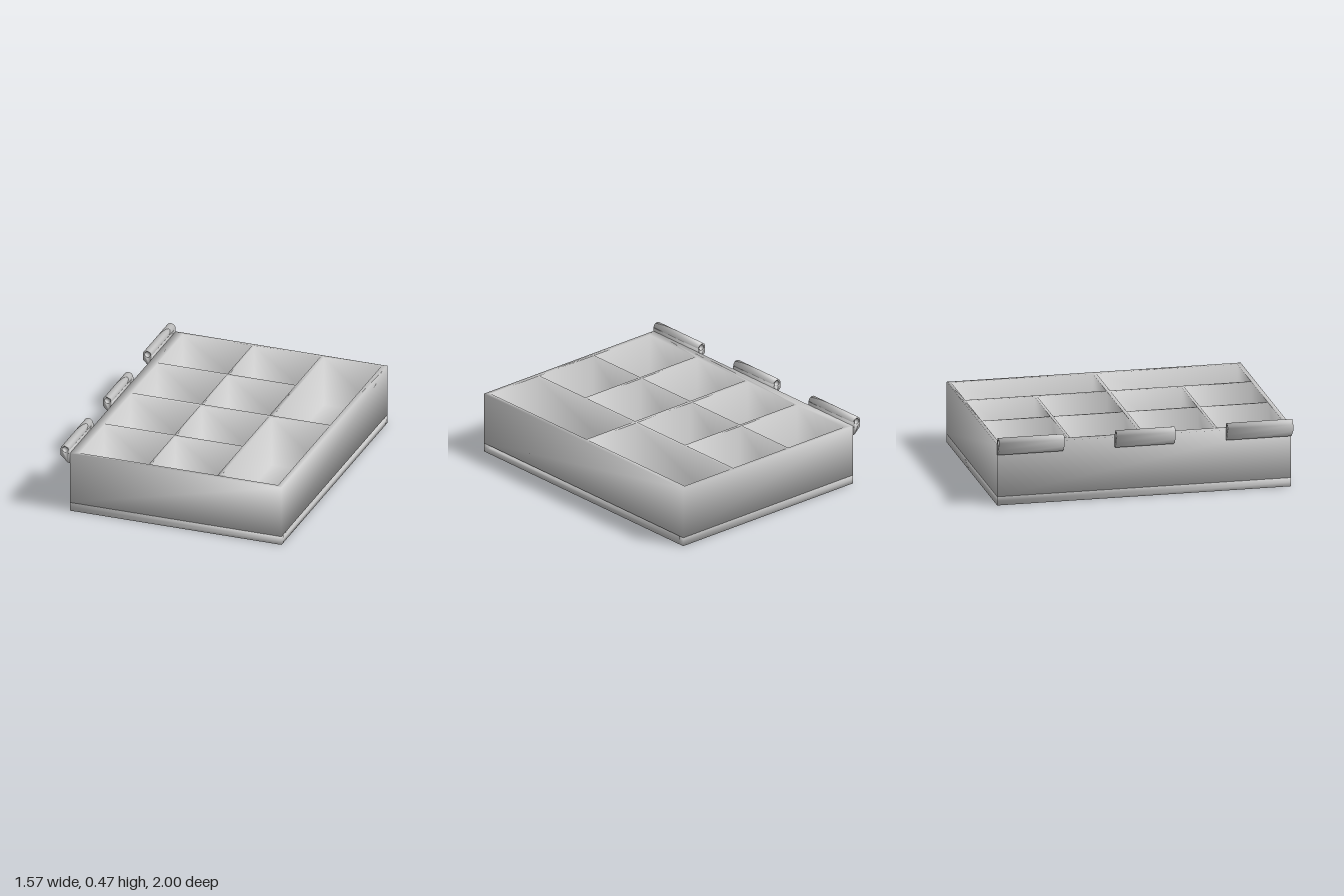
import * as THREE from 'three';
import { mergeGeometries, mergeVertices } from 'three/addons/utils/BufferGeometryUtils.js';

const material = new THREE.MeshStandardMaterial({ color: 0xcccccc });
const innerMaterial = new THREE.MeshStandardMaterial({ color: 0xcccccc, side: THREE.DoubleSide });

const LEFT = -0.72, RIGHT = 0.78, HALF = 1;
const GROOVE_BOTTOM = 0.03, BASE_TOP = 0.06, FLOOR = 0.07, TOP = 0.42;

function addMesh(parent, name, geometry, mat = material) {
  const mesh = new THREE.Mesh(geometry, mat);
  mesh.name = name;
  parent.add(mesh);
}

// Welds all corners and gives them smooth normals, weighted by face angle
function smooth(source) {
  source.deleteAttribute('normal');
  source.deleteAttribute('uv');
  const geometry = mergeVertices(source);
  const position = geometry.attributes.position, index = geometry.index;
  const normals = Array.from({ length: position.count }, () => new THREE.Vector3());
  const triangle = new THREE.Triangle(), faceNormal = new THREE.Vector3();
  for (let i = 0; i < index.count; i += 3) {
    const ids = [0, 1, 2].map((k) => index.getX(i + k));
    triangle.setFromAttributeAndIndices(position, ...ids);
    triangle.getNormal(faceNormal);
    const corners = [triangle.a, triangle.b, triangle.c];
    corners.forEach((corner, k) => {
      const toNext = corners[(k + 1) % 3].clone().sub(corner);
      const toLast = corners[(k + 2) % 3].clone().sub(corner);
      normals[ids[k]].addScaledVector(faceNormal, toNext.angleTo(toLast));
    });
  }
  const values = normals.flatMap((n) => n.normalize().toArray());
  geometry.setAttribute('normal', new THREE.Float32BufferAttribute(values, 3));
  return geometry;
}

// Ground plan corners as [x, z], counter-clockwise from above
function rect(x0, x1, z0, z1) {
  return [[x0, z1], [x1, z1], [x1, z0], [x0, z0]];
}

// Level face at height y, facing up or down, with optional openings
function level(points, y, up = true, openings = []) {
  const sign = up ? -1 : 1;
  const flat = (loop) => loop.map(([x, z]) => new THREE.Vector2(x, sign * z));
  const shape = new THREE.Shape(flat(points));
  shape.holes = openings.map((loop) => new THREE.Path(flat(loop)));
  return new THREE.ShapeGeometry(shape).rotateX(sign * Math.PI / 2).translate(0, y, 0);
}

// Upright faces along a closed plan, facing outward or inward
function upright(points, y0, y1, outward = true) {
  const corners = [], faces = [];
  points.forEach(([ax, az], i) => {
    const [bx, bz] = points[(i + 1) % points.length], n = i * 4;
    corners.push(ax, y0, az, bx, y0, bz, bx, y1, bz, ax, y1, az);
    faces.push(...(outward ? [0, 1, 2, 0, 2, 3] : [0, 2, 1, 0, 3, 2]).map((k) => n + k));
  });
  const geometry = new THREE.BufferGeometry();
  geometry.setAttribute('position', new THREE.Float32BufferAttribute(corners, 3));
  geometry.setIndex(faces);
  return geometry;
}

function joinSmooth(parts) {
  for (const part of parts) {
    part.deleteAttribute('normal');
    part.deleteAttribute('uv');
  }
  return smooth(mergeGeometries(parts));
}

// Base plate with a long finger groove along one side
function createBase() {
  const inner = RIGHT - 0.02, end = 0.96;
  const lower = [[LEFT, HALF], [RIGHT, HALF], [RIGHT, end],
    [RIGHT, -end], [RIGHT, -HALF], [LEFT, -HALF]];
  const upper = [...lower.slice(0, 3), [inner, end], [inner, -end], ...lower.slice(3)];
  return joinSmooth([
    level(lower, 0, false),
    upright(lower, 0, GROOVE_BOTTOM),
    level(rect(inner, RIGHT, -end, end), GROOVE_BOTTOM),
    upright(upper, GROOVE_BOTTOM, BASE_TOP),
    level(upper, BASE_TOP),
  ]);
}

// Tray body: eight small and two long compartments
function createBody() {
  const outline = rect(LEFT, RIGHT, -HALF, HALF);
  const rows = [[-0.975, -0.51], [-0.49, -0.015], [0.01, 0.49], [0.51, 0.97]];
  const cells = [[-0.66, -0.17], [-0.155, 0.315]]
    .flatMap((column) => rows.map((row) => rect(...column, ...row)));
  cells.push(rect(0.34, 0.745, -0.975, -0.015), rect(0.34, 0.745, 0.01, 0.97));
  return joinSmooth([
    level(outline, BASE_TOP, false),
    upright(outline, BASE_TOP, TOP),
    level(outline, TOP, true, cells),
    ...cells.flatMap((cell) => [upright(cell, FLOOR, TOP, false), level(cell, FLOOR)]),
  ]);
}

// Hinge knuckle: rounded top, slanted foot, a round dimple in each end
function createKnuckle(length) {
  const knuckle = new THREE.Group();
  const cx = -0.753, cy = 0.443, r = 0.032, hole = 0.02;

  const profile = new THREE.Shape();
  profile.moveTo(LEFT, 0.35);
  profile.lineTo(LEFT, cy);
  profile.absarc(cx, cy, r, 0, Math.PI, false);
  profile.lineTo(cx - r, 0.40);
  profile.lineTo(-0.735, 0.352);
  profile.closePath();
  const bore = new THREE.Path();
  bore.absarc(cx, cy, hole, 0, Math.PI * 2, true);
  profile.holes.push(bore);

  addMesh(knuckle, 'knuckleBody', smooth(new THREE.ExtrudeGeometry(profile, {
    depth: length, bevelEnabled: false, curveSegments: 16,
  }).translate(0, 0, -length / 2)));

  for (const side of [1, -1]) {
    const dimple = new THREE.SphereGeometry(hole, 24, 8, 0, Math.PI * 2, 0, Math.PI / 2);
    dimple.rotateX(-side * Math.PI / 2).translate(cx, cy, side * length / 2);
    addMesh(knuckle, 'pivotDimple', dimple, innerMaterial);
  }
  return knuckle;
}

export function createModel() {
  const model = new THREE.Group();
  model.name = 'compartmentTray';
  addMesh(model, 'basePlate', createBase());
  addMesh(model, 'trayBody', createBody());

  for (const [name, z, length] of [
    ['backHinge', -0.778, 0.444],
    ['middleHinge', 0, 0.4],
    ['frontHinge', 0.778, 0.444],
  ]) {
    const knuckle = createKnuckle(length);
    knuckle.name = name;
    knuckle.position.z = z;
    model.add(knuckle);
  }
  return model;
}
